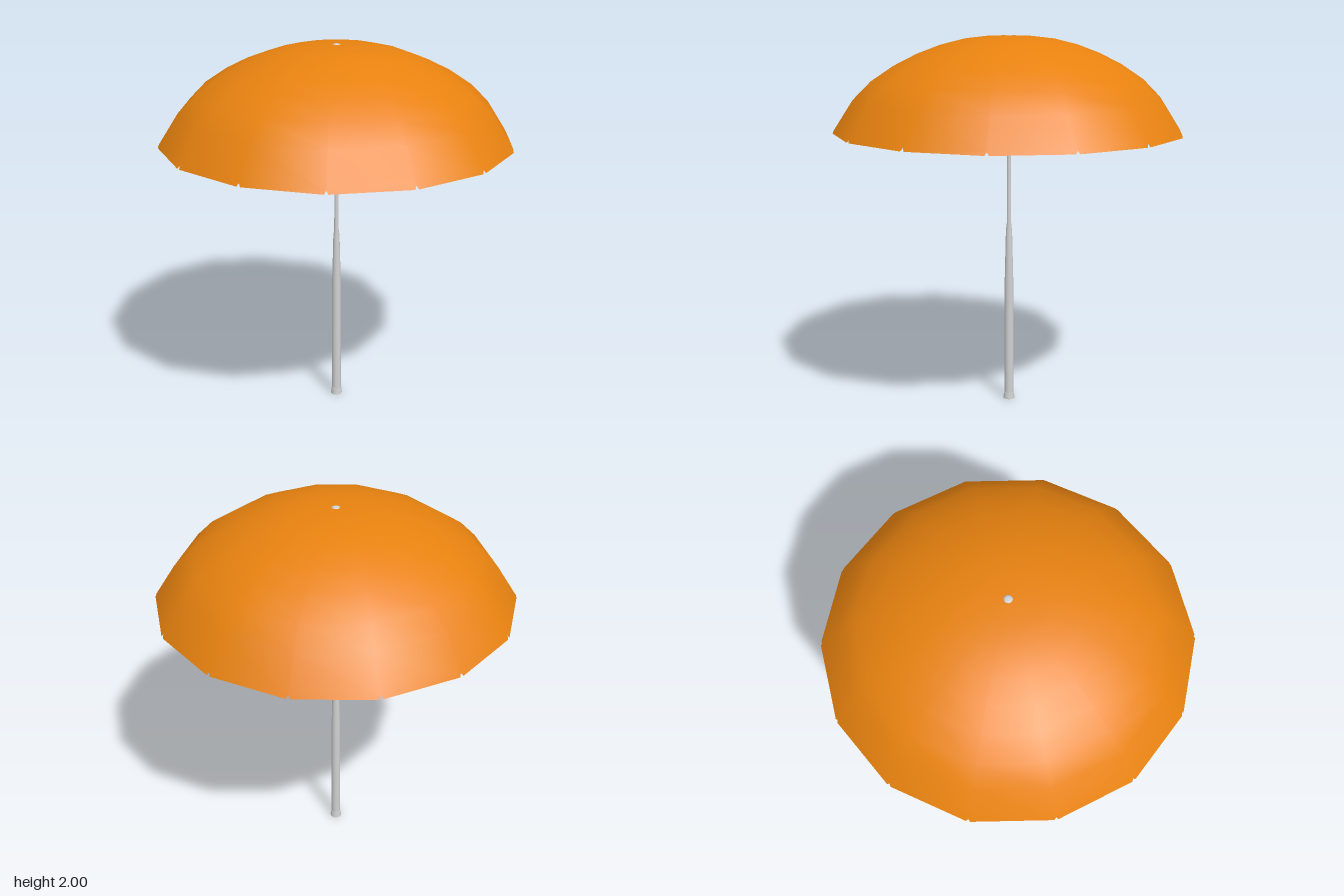
import * as THREE from 'three';

const SIDES = 14;
const RIM = { r: 0.925, y: 1.5 };
const HEM = { r: 0.915, y: 1.516 };

function lathe(points, segments) {
  return new THREE.LatheGeometry(points.map(([x, y]) => new THREE.Vector2(x, y)), segments);
}

// Hem panels: one per side, lower corners trimmed to leave small notches
function hemGeometry() {
  const pos = [], nor = [], idx = [];
  const at = (p, a) => new THREE.Vector3(Math.sin(a) * p.r, p.y, Math.cos(a) * p.r);
  for (let i = 0; i < SIDES; i++) {
    const a = (i / SIDES) * Math.PI * 2, b = ((i + 1) / SIDES) * Math.PI * 2;
    const lowA = at(RIM, a), lowB = at(RIM, b);
    const corners = [
      lowA.clone().lerp(lowB, 0.025), lowB.clone().lerp(lowA, 0.025),
      at(HEM, b), at(HEM, a),
    ];
    corners.forEach((v, k) => {
      const t = k === 0 || k === 3 ? a : b;
      pos.push(v.x, v.y, v.z);
      nor.push(Math.sin(t) * 0.84, 0.54, Math.cos(t) * 0.84);
    });
    const n = i * 4;
    idx.push(n, n + 1, n + 2, n, n + 2, n + 3);
  }
  const g = new THREE.BufferGeometry();
  g.setAttribute('position', new THREE.Float32BufferAttribute(pos, 3));
  g.setAttribute('normal', new THREE.Float32BufferAttribute(nor, 3));
  g.setIndex(idx);
  return g;
}

export function createModel() {
  const model = new THREE.Group();
  model.name = 'parasol';
  const fabric = new THREE.MeshStandardMaterial({ color: 0xe8820f, side: THREE.DoubleSide });
  fabric.name = 'orange fabric';
  const metal = new THREE.MeshStandardMaterial({ color: 0xd0d0d0 });
  metal.name = 'grey metal';

  const add = (name, geometry, material) => {
    const mesh = new THREE.Mesh(geometry, material);
    mesh.name = name;
    model.add(mesh);
    return mesh;
  };

  // Domed canopy, rim to crown
  add('canopy', lathe([
    [HEM.r, HEM.y], [0.815, 1.67], [0.72, 1.765], [0.6, 1.845], [0.48, 1.905],
    [0.36, 1.95], [0.24, 1.98], [0.12, 1.994], [0, 1.996],
  ], SIDES), fabric);
  add('canopyHem', hemGeometry(), fabric);

  // Pole: thick below, slim in the middle, thicker again under the crown
  add('pole', lathe([
    [0.025, 0.03], [0.024, 0.68], [0.017, 0.96], [0.012, 1.0],
    [0.011, 1.5], [0.019, 1.74], [0.021, 1.99],
  ], 16), metal);

  // Rounded tip showing through the crown
  add('poleTip', lathe([[0.022, 1.985], [0.021, 1.996], [0.012, 1.999], [0, 2]], 16), metal);

  // Foot collar
  add('foot', new THREE.CylinderGeometry(0.028, 0.031, 0.035, 16).translate(0, 0.0175, 0), metal);

  return model;
}
